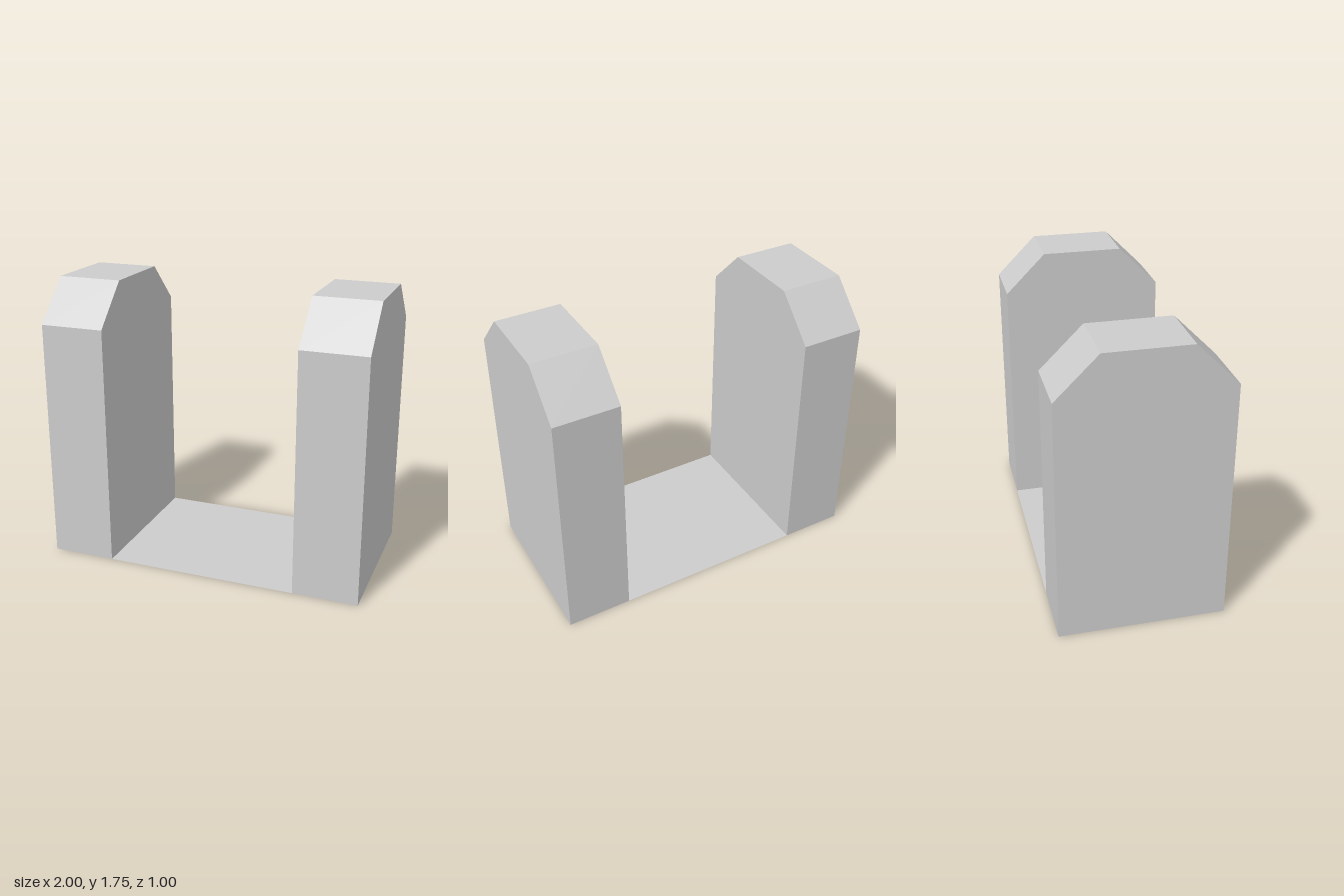
import * as THREE from 'three';

const HALF_DEPTH = 0.5, SHOULDER = 1.5, TOP = 1.75, HALF_TOP = 0.25;
const INNER = 0.6, WIDTH = 0.4;

// Removes the triangles lying on the ground, leaving the shell open below
function openBottom(geometry) {
  const p = geometry.attributes.position;
  const kept = [];
  for (let i = 0; i < p.count; i += 3) {
    const corners = [i, i + 1, i + 2];
    if (corners.some((c) => Math.abs(p.getY(c)) > 1e-5)) kept.push(...corners);
  }
  geometry.setIndex(kept);
  geometry.clearGroups();
  return geometry;
}

export function createModel() {
  const group = new THREE.Group();
  group.name = 'twinPillars';
  const grey = new THREE.MeshStandardMaterial({ color: 0xcccccc, side: THREE.DoubleSide });
  grey.name = 'light grey';

  // Pillar outline seen from the side, with chamfered shoulders
  const outline = new THREE.Shape([
    [-HALF_DEPTH, 0], [HALF_DEPTH, 0], [HALF_DEPTH, SHOULDER],
    [HALF_TOP, TOP], [-HALF_TOP, TOP], [-HALF_DEPTH, SHOULDER],
  ].map(([z, y]) => new THREE.Vector2(z, y)));
  const pillarGeometry = openBottom(
    new THREE.ExtrudeGeometry(outline, { depth: WIDTH, bevelEnabled: false })
      .translate(0, 0, -WIDTH / 2)
      .rotateY(Math.PI / 2)
  );

  // Hollow pillars on both sides
  for (const [name, side] of [['leftPillar', 1], ['rightPillar', -1]]) {
    const pillar = new THREE.Mesh(pillarGeometry, grey);
    pillar.name = name;
    pillar.position.x = side * (INNER + WIDTH / 2);
    group.add(pillar);
  }

  // Thin floor sheet between the pillars
  const floor = new THREE.Mesh(
    new THREE.PlaneGeometry(INNER * 2, HALF_DEPTH * 2).rotateX(-Math.PI / 2), grey);
  floor.name = 'floor';
  group.add(floor);

  return group;
}
